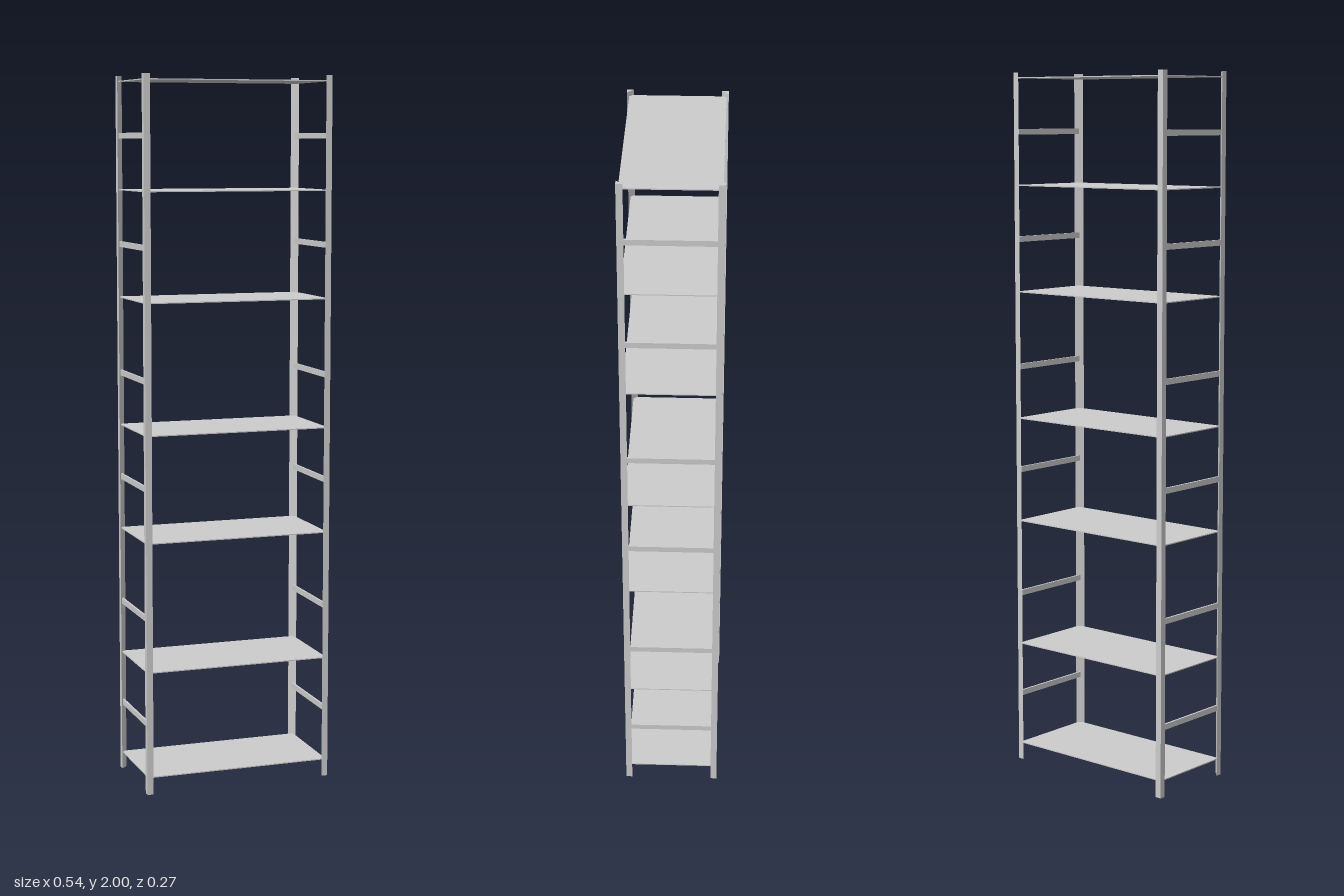
import * as THREE from 'three';

const W = 0.272, D = 0.136, H = 2, LEG = 0.018;

export function createModel() {
  const group = new THREE.Group();
  const material = new THREE.MeshStandardMaterial({ color: 0xcccccc, flatShading: true });

  function add(name, geometry, x, y, z) {
    const mesh = new THREE.Mesh(geometry, material);
    mesh.name = name;
    mesh.position.set(x, y, z);
    group.add(mesh);
  }

  // Triangular corner posts, right angle at the outer corner
  for (const sx of [-1, 1]) {
    for (const sz of [-1, 1]) {
      const section = new THREE.Shape([
        new THREE.Vector2(sx * W, -sz * D),
        new THREE.Vector2(sx * (W - LEG), -sz * D),
        new THREE.Vector2(sx * W, -sz * (D - LEG)),
      ]);
      const post = new THREE.ExtrudeGeometry(section, { depth: H, bevelEnabled: false });
      post.rotateX(-Math.PI / 2);
      add('cornerPost', post, 0, 0, 0);
    }
  }

  // Thin shelves
  const shelf = new THREE.BoxGeometry(0.536, 0.003, 0.26);
  for (const y of [0.048, 0.35, 0.717, 1.018, 1.383, 1.685, 1.985]) {
    add('shelf', shelf, 0, y, 0);
  }

  // Side rails halfway between shelves
  const rail = new THREE.BoxGeometry(0.006, 0.016, 0.254);
  for (const y of [0.2, 0.502, 0.868, 1.168, 1.533, 1.835]) {
    for (const side of [-1, 1]) add('sideRail', rail, side * 0.265, y, 0);
  }

  return group;
}
